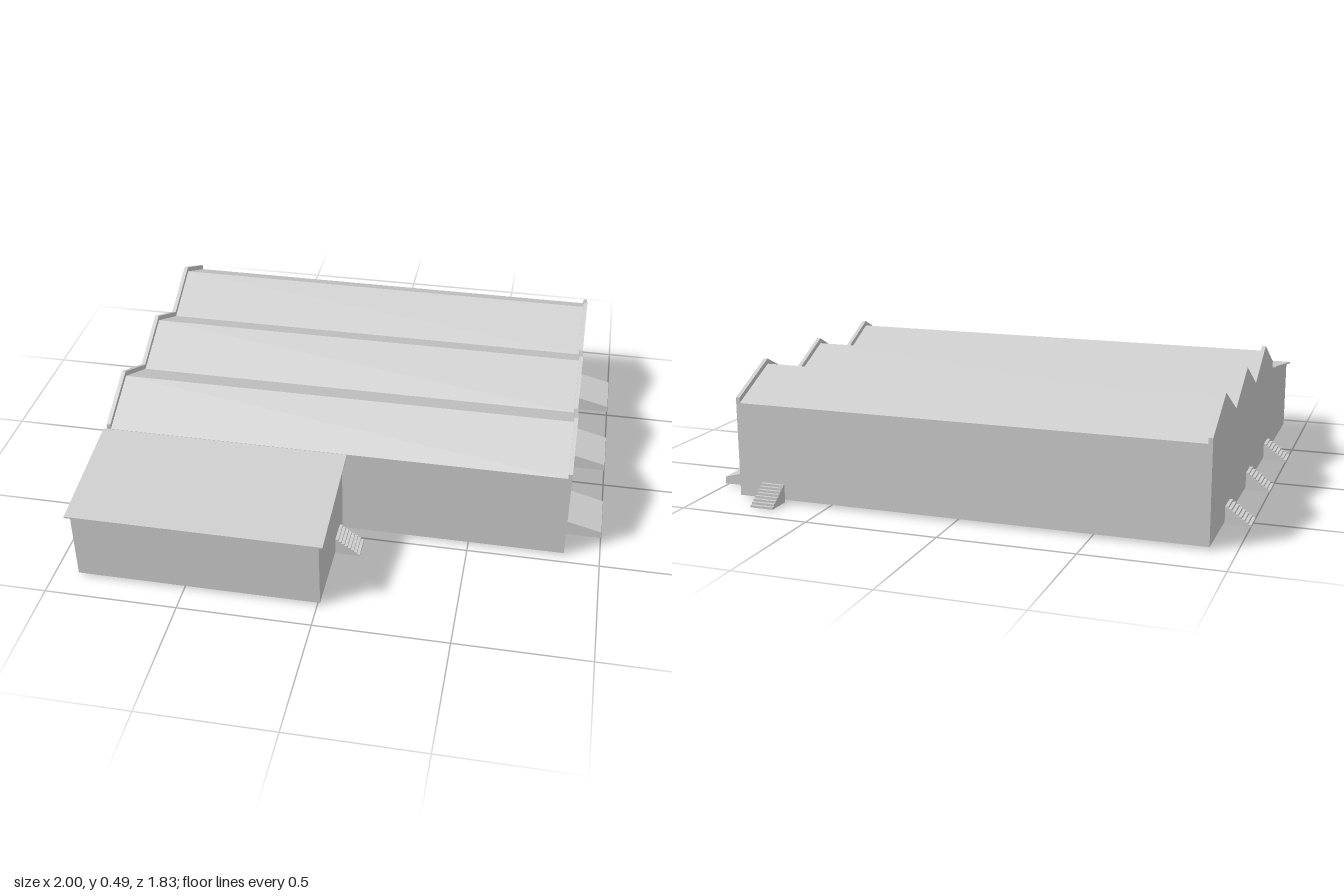
import * as THREE from 'three';

const grey = new THREE.MeshStandardMaterial({ color: 0xcccccc, side: THREE.DoubleSide });
grey.name = 'lightGrey';

function add(group, name, geometry) {
  const mesh = new THREE.Mesh(geometry, grey);
  mesh.name = name;
  group.add(mesh);
  return mesh;
}

// Solid with a [z, y] profile, running along x from x0 to x1
function prism(points, x0, x1) {
  const shape = new THREE.Shape(points.map(([z, y]) => new THREE.Vector2(-z, y)));
  const g = new THREE.ExtrudeGeometry(shape, { depth: x1 - x0, bevelEnabled: false });
  return g.rotateY(Math.PI / 2).translate(x0, 0, 0);
}

// Thin sheet following a [z, y] line, running along x from x0 to x1
function sheet([za, ya], [zb, yb], x0, x1) {
  const g = new THREE.BufferGeometry();
  g.setAttribute('position', new THREE.Float32BufferAttribute(
    [x0, ya, za, x0, yb, zb, x1, yb, zb, x1, ya, za], 3));
  g.setIndex([0, 1, 2, 0, 2, 3]);
  g.computeVertexNormals();
  return g;
}

export function createModel() {
  const model = new THREE.Group();
  model.name = 'warehouse';

  const LEFT = 0.865, RIGHT = -0.908, BACK = -0.822, FRONT = 0.461;
  const BASE = 0.01, EAVE = 0.365, RIDGE = 0.47, RISE = 0.02, WALL = 0.015;
  const bay = (FRONT - BACK) / 3;

  // Three roofed bays, with a long wall on every valley line
  const gable = [[BACK, BASE], [BACK, EAVE + RISE]];
  for (let i = 0; i < 3; i++) {
    const z0 = BACK + i * bay, zm = z0 + bay / 2, z1 = z0 + bay;
    add(model, 'roofBackSlope', sheet([zm, RIDGE], [z0, EAVE], LEFT - WALL, RIGHT + WALL));
    add(model, 'roofFrontSlope', sheet([zm, RIDGE], [z1, EAVE], RIGHT + WALL, LEFT - WALL));
    gable.push([zm, RIDGE + RISE], [z1, EAVE + RISE]);
  }
  gable.push([FRONT, BASE]);
  for (let i = 0; i < 4; i++) {
    const z = BACK + i * bay;
    const wall = i === 0
      ? sheet([z, EAVE], [z, BASE], LEFT, RIGHT)
      : sheet([z, EAVE], [z, BASE], RIGHT, LEFT);
    add(model, ['backWall', 'innerWall', 'innerWall', 'frontWall'][i], wall);
  }

  // Zigzag end walls rising just above the roof
  add(model, 'rightGableWall', prism(gable, RIGHT, RIGHT + WALL));
  add(model, 'leftGableWall', prism(gable, LEFT - WALL, LEFT));

  // Lean-to annex
  const AX = 0.01, AZ = 0.893, AY = 0.29;
  const side = [[FRONT, BASE], [FRONT, 0.358], [AZ, AY], [AZ, BASE]];
  add(model, 'annexFrontWall', sheet([AZ, AY], [AZ, BASE], RIGHT, AX));
  add(model, 'annexRightWall', prism(side, RIGHT, RIGHT + 0.002));
  add(model, 'annexLeftWall', prism(side, AX - 0.002, AX));
  add(model, 'annexRoof', prism(
    [[FRONT, 0.358], [FRONT, 0.364], [0.913, 0.293], [0.913, 0.287]], -0.922, 0.028));

  // Loading ramps on the left wall
  for (const z of [-0.61, -0.185, 0.247]) {
    const shape = new THREE.Shape([[0, 0.008], [0.135, 0.008], [0.135, 0.035], [0, 0.07]]
      .map(([x, y]) => new THREE.Vector2(x, y)));
    const g = new THREE.ExtrudeGeometry(shape, { depth: 0.195, bevelEnabled: false });
    add(model, 'loadingRamp', g).position.set(LEFT, 0, z - 0.0975);
  }

  // Door steps: stepped profile running outward along local x
  const steps = 8, run = 0.094, height = 0.068;
  const profile = [[0, 0]];
  for (let i = 0; i < steps; i++) {
    const y = height * (1 - i / steps);
    profile.push([run * i / steps, y], [run * (i + 1) / steps, y]);
  }
  profile.push([run, 0]);
  const stairGeometry = new THREE.ExtrudeGeometry(
    new THREE.Shape(profile.map(([x, y]) => new THREE.Vector2(x, y))),
    { depth: 0.09, bevelEnabled: false }).translate(0, 0, -0.045);
  const places = [
    [RIGHT, -0.505, Math.PI], [RIGHT, -0.075, Math.PI], [RIGHT, 0.353, Math.PI],
    [AX, 0.56, 0], [0.725, BACK, Math.PI / 2],
  ];
  for (const [x, z, turn] of places) {
    const stairs = add(model, 'doorSteps', stairGeometry);
    stairs.position.set(x, 0, z);
    stairs.rotation.y = turn;
  }
  return model;
}
